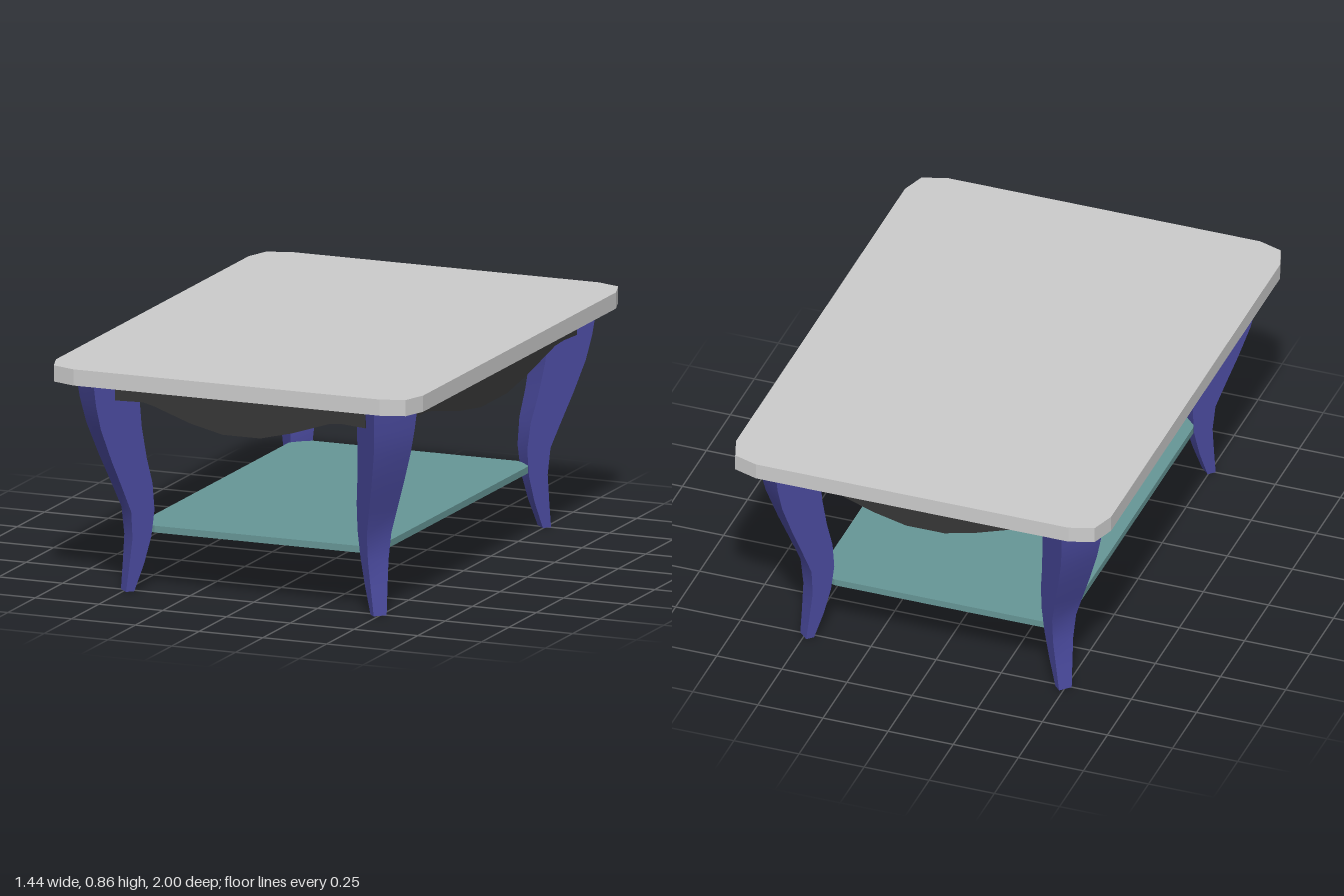
import * as THREE from 'three';

const mat = (color) => new THREE.MeshStandardMaterial({ color });

// Flat board with clipped, slightly rounded corners; cx/cz lists walk one corner
function board(name, corner, y, thickness, material) {
  const back = [...corner].reverse();
  const pts = [
    ...corner,
    ...back.map(([x, z]) => [-x, z]),
    ...corner.map(([x, z]) => [-x, -z]),
    ...back.map(([x, z]) => [x, -z]),
  ].map(([x, z]) => new THREE.Vector2(x, z));
  const geo = new THREE.ExtrudeGeometry(new THREE.Shape(pts), { depth: thickness, bevelEnabled: false });
  geo.rotateX(-Math.PI / 2);
  const mesh = new THREE.Mesh(geo, material);
  mesh.name = name;
  mesh.position.y = y;
  return mesh;
}

// Curved leg pointing outwards along +z: rows of [y, inner, outer],
// the extents of the diagonal leg as seen along an axis
const LEG_ROWS = [
  [0, 0.463, 0.521], [0.1, 0.433, 0.519], [0.2, 0.41, 0.518], [0.3, 0.398, 0.529],
  [0.4, 0.4, 0.563], [0.5, 0.413, 0.598], [0.62, 0.423, 0.636], [0.71, 0.425, 0.656], [0.8, 0.425, 0.67],
];

function legGeometry() {
  const n = LEG_ROWS.length - 1;
  const geo = new THREE.BoxGeometry(1, 1, 1, 1, n, 1);
  const p = geo.attributes.position;
  for (let i = 0; i < p.count; i++) {
    const [y, inner, outer] = LEG_ROWS[Math.round((p.getY(i) + 0.5) * n)];
    const w = 0.05 + 0.12 * (y / 0.8);
    const z = p.getZ(i) > 0 ? outer * Math.SQRT2 - w / 2 : inner * Math.SQRT2 + w / 2;
    p.setXYZ(i, p.getX(i) * w, y, z);
  }
  geo.computeVertexNormals();
  return geo;
}

// Apron board with a wavy lower edge, facing +z; profile x runs from -1 to 1
const APRON_EDGE = [
  [-1, 0.728], [-0.78, 0.731], [-0.7, 0.722], [-0.4, 0.67], [-0.14, 0.64],
  [0.16, 0.64], [0.41, 0.67], [0.72, 0.72], [0.82, 0.723], [1, 0.716],
];

function apronGeometry(half) {
  const s = new THREE.Shape();
  s.moveTo(half, 0.8);
  s.lineTo(-half, 0.8);
  APRON_EDGE.forEach(([x, y]) => s.lineTo(x * half, y));
  s.closePath();
  return new THREE.ExtrudeGeometry(s, { depth: 0.03, bevelEnabled: false });
}

export function createModel() {
  const model = new THREE.Group();
  model.name = 'coffeeTable';
  const grey = mat(0xcccccc), legBlue = mat(0x4a4a9e), dark = mat(0x363636), teal = mat(0x669696);

  // Table top and lower shelf
  model.add(board('tableTop', [[0.72, 0.88], [0.69, 0.97], [0.6, 1]], 0.8, 0.06, grey));
  model.add(board('lowerShelf', [[0.47, 0.66], [0.45, 0.7], [0.4, 0.725]], 0.215, 0.025, teal));

  // Four legs set on the diagonals
  const legGeo = legGeometry();
  for (const sz of [1, -1]) {
    for (const sx of [1, -1]) {
      const leg = new THREE.Mesh(legGeo, legBlue);
      leg.name = (sz > 0 ? 'front' : 'back') + (sx > 0 ? 'Left' : 'Right') + 'Leg';
      leg.position.z = sz * 0.265;
      leg.rotation.y = Math.atan2(sx, sz);
      model.add(leg);
    }
  }

  // Four aprons between the legs
  const shortApron = apronGeometry(0.49), longApron = apronGeometry(0.79);
  ['frontApron', 'leftApron', 'backApron', 'rightApron'].forEach((name, i) => {
    const side = i % 2 === 1;
    const mesh = new THREE.Mesh(side ? longApron : shortApron, dark);
    mesh.name = name;
    mesh.position.z = side ? 0.585 : 0.845;
    const holder = new THREE.Group();
    holder.name = name + 'Mount';
    holder.rotation.y = (i * Math.PI) / 2;
    holder.add(mesh);
    model.add(holder);
  });

  return model;
}
